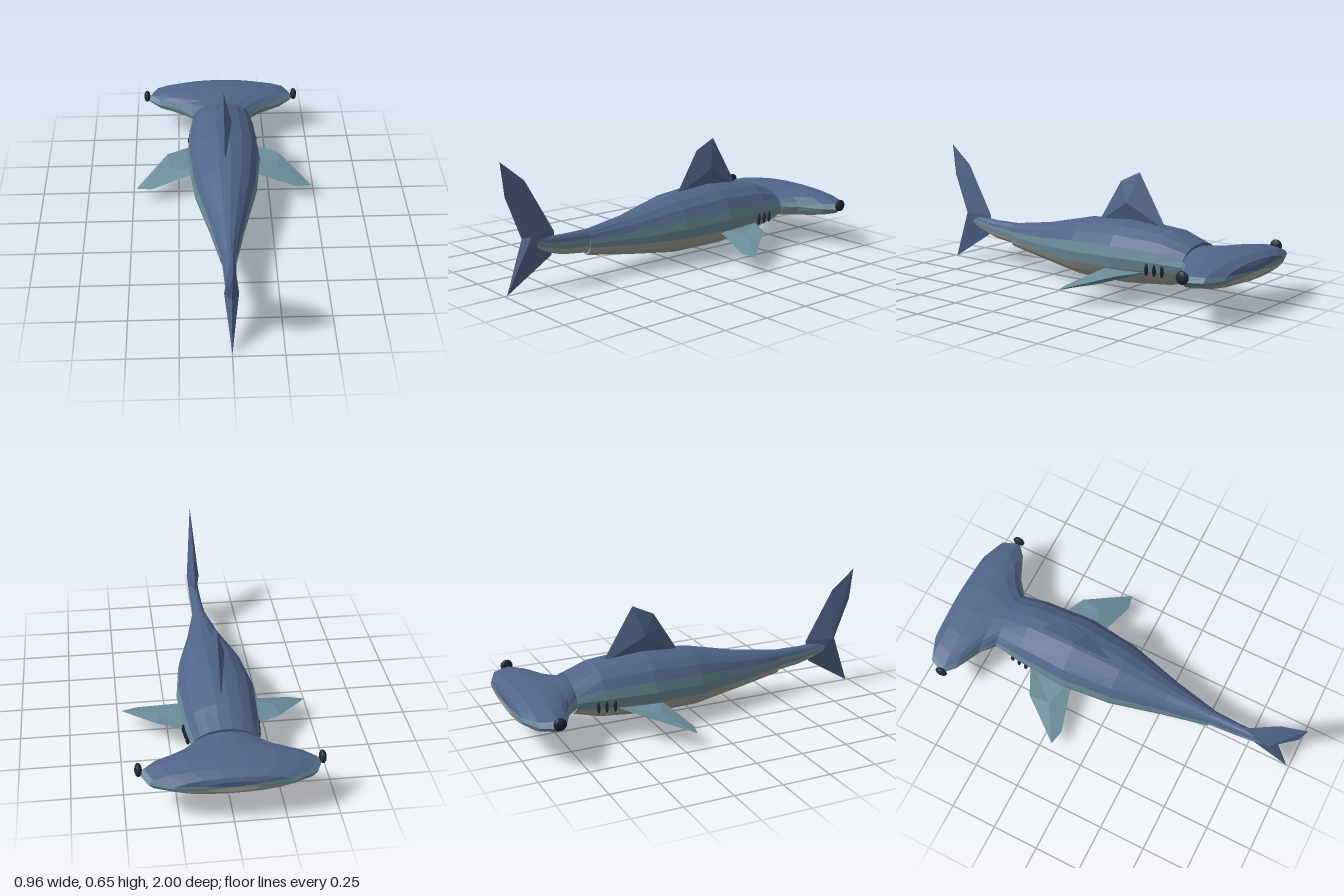
import * as THREE from 'three';

const paint = (name, color, flatShading = true) => {
  const m = new THREE.MeshStandardMaterial({ color, flatShading });
  m.name = name;
  return m;
};

// Builds a flat-faced geometry from a list of triangles (arrays of Vector3).
function fromTriangles(tris) {
  const g = new THREE.BufferGeometry().setFromPoints(tris.flat());
  g.computeVertexNormals();
  return g;
}

// Lofts 18-sided oval rings [z, halfWidth, top, bottom] from front to back,
// with back, flank and belly colour bands.
function bandedLoft(rings, materials) {
  const n = 18;
  const point = ([z, w, top, bottom], i) => {
    const a = ((i + 0.5) / n) * Math.PI * 2;
    return new THREE.Vector3(Math.sin(a) * w, (top + bottom) / 2 + Math.cos(a) * (top - bottom) / 2, z);
  };
  const bands = [[], [], []];
  for (let j = 0; j < rings.length - 1; j++) {
    for (let i = 0; i < n; i++) {
      const turn = ((i + 1) * 360 / n) % 360;
      const c = Math.min(turn, 360 - turn);
      const band = bands[c < 75 ? 0 : c < 105 ? 1 : 2];
      const p = point(rings[j], i), q = point(rings[j + 1], i);
      const r = point(rings[j + 1], i + 1), s = point(rings[j], i + 1);
      band.push([p, q, r], [p, r, s]);
    }
  }
  const g = fromTriangles(bands.flat());
  let start = 0;
  bands.forEach((b, k) => {
    g.addGroup(start, b.length * 3, k);
    start += b.length * 3;
  });
  return new THREE.Mesh(g, materials);
}

// Closed fin: a sharp outline with a bulge point on each side.
function finGeometry(outline, bulgeA, bulgeB) {
  const pts = outline.map(p => new THREE.Vector3(...p));
  const a = new THREE.Vector3(...bulgeA), b = new THREE.Vector3(...bulgeB);
  const tris = [];
  for (const [tip, other] of [[a, b], [b, a]]) {
    const out = tip.clone().sub(other);
    pts.forEach((p, i) => {
      const q = pts[(i + 1) % pts.length];
      const normal = p.clone().sub(tip).cross(q.clone().sub(tip));
      tris.push(normal.dot(out) > 0 ? [tip, p, q] : [tip, q, p]);
    });
  }
  return fromTriangles(tris);
}

export function createModel() {
  const model = new THREE.Group();
  model.name = 'hammerheadShark';
  const blue = paint('backBlue', 0x50658a);
  const teal = paint('flankTeal', 0x6a8c9a);
  const belly = paint('bellyGrey', 0xa3a39a);
  const dark = paint('darkNavy', 0x1c2836);
  const skin = [blue, teal, belly];
  const add = (name, mesh) => {
    mesh.name = name;
    model.add(mesh);
    return mesh;
  };

  // Hammer head, body and tail stem
  add('head', bandedLoft([
    [-1.0, 0, 0.208, 0.208],
    [-1.0, 0.13, 0.237, 0.18],
    [-0.99, 0.28, 0.255, 0.165],
    [-0.945, 0.39, 0.277, 0.148],
    [-0.86, 0.43, 0.287, 0.138],
    [-0.805, 0.37, 0.286, 0.134],
    [-0.745, 0.24, 0.282, 0.132],
    [-0.675, 0.155, 0.28, 0.13],
  ], skin));
  add('body', bandedLoft([
    [-0.68, 0, 0.21, 0.21],
    [-0.68, 0.162, 0.295, 0.11],
    [-0.54, 0.183, 0.347, 0.068],
    [-0.27, 0.2, 0.37, 0.04],
    [0, 0.168, 0.347, 0.038],
    [0.28, 0.095, 0.283, 0.077],
    [0.525, 0.042, 0.248, 0.117],
    [0.525, 0, 0.18, 0.18],
  ], skin));
  add('tailStem', bandedLoft([
    [0.52, 0, 0.19, 0.19],
    [0.52, 0.038, 0.25, 0.13],
    [0.67, 0.03, 0.248, 0.148],
    [0.76, 0.027, 0.255, 0.175],
    [0.83, 0.024, 0.265, 0.205],
    [0.83, 0, 0.235, 0.235],
  ], skin));

  // Upright fins, outlined as [z, y]
  const upright = (name, outline, z, y, half) => add(name, new THREE.Mesh(
    finGeometry(outline.map(([pz, py]) => [0, py, pz]), [half, y, z], [-half, y, z]), blue));
  upright('dorsalFin', [[-0.06, 0.33], [-0.2, 0.555], [-0.315, 0.61], [-0.485, 0.33]], -0.265, 0.455, 0.043);
  upright('tailFin', [
    [1, 0.65], [0.87, 0.545], [0.71, 0.27], [0.73, 0.155],
    [0.98, 0], [0.87, 0.03], [0.73, 0.155],
  ].slice(0, 4).concat([[0.985, 0.002], [0.895, 0.265], [0.98, 0.48]].length ? [
    [0.73, 0.155], [0.985, 0], [0.87, 0.03]].slice(3) : [],
  [[0.985, 0], [0.895, 0.265], [0.98, 0.48]]), 0.86, 0.275, 0.035);

  // Paired parts
  for (const [side, s] of [['left', 1], ['right', -1]]) {
    add(side + 'PectoralFin', new THREE.Mesh(finGeometry(
      [[0.13, 0.15, -0.49], [0.31, 0.147, -0.4], [0.48, 0.08, -0.18], [0.4, 0.085, -0.163], [0.13, 0.145, -0.235]]
        .map(([x, y, z]) => [s * x, y, z]),
      [s * 0.3, 0.135, -0.29], [s * 0.3, 0.085, -0.27]), teal));

    const eye = add(side + 'Eye', new THREE.Mesh(new THREE.SphereGeometry(1, 10, 8), dark));
    eye.scale.set(0.018, 0.032, 0.033);
    eye.position.set(s * 0.43, 0.234, -0.86);

    [[-0.49, 0.183], [-0.533, 0.178], [-0.575, 0.173]].forEach(([z, x], i) => {
      const gill = add(side + 'Gill' + (i + 1), new THREE.Mesh(new THREE.SphereGeometry(1, 8, 6), dark));
      gill.scale.set(0.012, 0.032, 0.009);
      gill.position.set(s * x, 0.17, z);
    });
  }
  return model;
}
